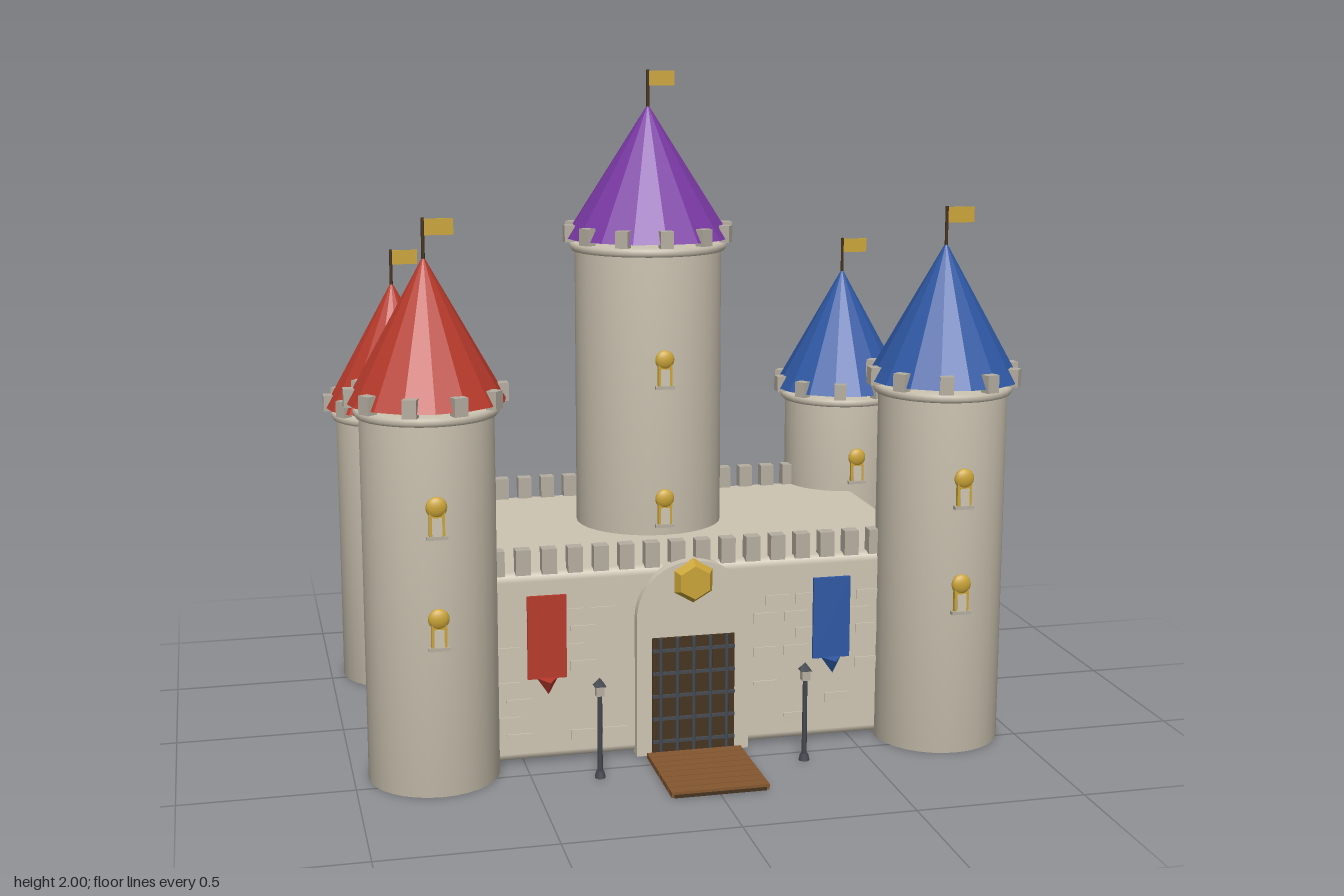
import * as THREE from 'three';
import { RoundedBoxGeometry } from 'three/addons/geometries/RoundedBoxGeometry.js';

const mat = (name, color, extra = {}) => {
  const m = new THREE.MeshStandardMaterial({ color, ...extra });
  m.name = name;
  return m;
};

export function createModel() {
  const flat = { flatShading: true };
  const stone = mat('stone', 0xcdc4b2);
  const trim = mat('trimStone', 0xb4ada0, flat);
  const red = mat('red', 0xb83a2b, flat);
  const blue = mat('blue', 0x2f58a4, flat);
  const purple = mat('purple', 0x7a39a4, flat);
  const gold = mat('gold', 0xcaa437);
  const wood = mat('wood', 0x85562f);
  const darkWood = mat('darkWood', 0x45331f);
  const iron = mat('iron', 0x454950);

  const root = new THREE.Group();
  root.name = 'castle';

  const add = (parent, name, geo, material, x = 0, y = 0, z = 0) => {
    const m = new THREE.Mesh(geo, material);
    m.name = name;
    m.position.set(x, y, z);
    parent.add(m);
    return m;
  };
  const box = (parent, name, w, h, d, material, x, y, z) =>
    add(parent, name, new THREE.BoxGeometry(w, h, d), material, x, y, z);
  const group = (parent, name, x = 0, y = 0, z = 0) => {
    const g = new THREE.Group();
    g.name = name;
    g.position.set(x, y, z);
    parent.add(g);
    return g;
  };

  // Arched window: gold pane, round head, stone infill and sill
  const addWindow = (parent, y, z) => {
    const g = group(parent, 'window', 0, y, z);
    box(g, 'pane', 0.044, 0.085, 0.016, gold, 0, -0.042, 0);
    box(g, 'infill', 0.028, 0.055, 0.018, stone, 0, -0.056, 0.001);
    box(g, 'sill', 0.06, 0.01, 0.024, trim, 0, -0.085, 0);
    const head = add(g, 'windowHead', new THREE.SphereGeometry(0.03, 16, 12), gold);
    head.scale.z = 0.5;
  };

  // Round tower with collar, merlons, cone roof and flag
  const addTower = (name, o) => {
    const g = group(root, name, o.x, 0, o.z);
    const profile = [[0, 0], [o.r, 0], [o.r, o.h]].map(p => new THREE.Vector2(...p));
    add(g, 'towerWall', new THREE.LatheGeometry(profile, 32), stone);
    const collar = [[o.r - 0.01, -0.002], [o.r + 0.01, 0], [o.r + 0.016, 0.008],
      [o.r + 0.016, 0.02], [o.r + 0.01, 0.028], [0, 0.028]];
    add(g, 'collar', new THREE.LatheGeometry(collar.map(p => new THREE.Vector2(...p)), 32),
      stone, 0, o.h - 0.005, 0);
    const base = o.h + 0.035;
    add(g, 'roof', new THREE.ConeGeometry(o.roofR, o.apex - base, 16), o.color, 0, (base + o.apex) / 2, 0);
    for (let i = 0; i < o.merlons; i++) {
      const a = (i / o.merlons) * Math.PI * 2;
      const m = box(g, 'merlon', 0.032, 0.052, 0.04, trim,
        Math.cos(a) * (o.roofR - 0.011), o.h + 0.05, Math.sin(a) * (o.roofR - 0.011));
      m.rotation.y = -a;
    }
    const tip = o.apex + 0.105;
    add(g, 'flagPole', new THREE.CylinderGeometry(0.005, 0.005, 0.15, 8), darkWood, 0, tip - 0.075, 0);
    box(g, 'flag', 0.082, 0.046, 0.005, gold, 0.044, tip - 0.026, 0);
    o.windows.forEach(y => addWindow(g, y, o.r + 0.003));
  };

  for (const s of [-1, 1]) {
    const side = s > 0 ? 'left' : 'right';
    const color = s > 0 ? blue : red;
    addTower(side + 'FrontTower', { x: s * 0.768, z: 0.418, r: 0.19, h: 1.07, roofR: 0.226,
      apex: 1.51, color, merlons: 10, windows: [0.84, 0.522] });
    addTower(side + 'BackTower', { x: s * 0.768, z: -0.545, r: 0.19, h: 0.875, roofR: 0.226,
      apex: 1.315, color, merlons: 10, windows: [0.695, 0.435] });
  }
  addTower('keep', { x: 0, z: -0.16, r: 0.23, h: 1.45, roofR: 0.263,
    apex: 1.895, color: purple, merlons: 12, windows: [1.13, 0.695] });

  // Main block with bevelled edges
  add(root, 'mainWalls', new RoundedBoxGeometry(1.536, 0.57, 0.955, 1, 0.025), stone, 0, 0.293, -0.067);

  // Wall battlements, front and back
  for (const z of [0.388, -0.522])
    for (let i = 0; i < 16; i++)
      box(root, 'wallMerlon', 0.044, 0.075, 0.04, trim, (i - 7.5) * 0.0765, 0.61, z);

  // Raised bricks scattered on the front wall
  let seed = 7;
  const rand = () => (seed = (seed * 16807) % 2147483647) / 2147483647;
  for (let row = 0; row < 9; row++)
    for (let i = 0; i < 4; i++)
      for (const s of [-1, 1]) {
        if (rand() > 0.45) continue;
        box(root, 'brick', 0.075, 0.03, 0.008, stone,
          s * (0.23 + i * 0.095 + (row % 2) * 0.035), 0.08 + row * 0.053, 0.411);
      }

  // Gatehouse arch
  const gate = group(root, 'gate');
  const arch = new THREE.Shape();
  arch.moveTo(-0.17, 0.005);
  arch.lineTo(0.17, 0.005);
  arch.lineTo(0.17, 0.425);
  arch.absarc(0, 0.425, 0.17, 0, Math.PI, false);
  arch.closePath();
  add(gate, 'arch', new THREE.ExtrudeGeometry(arch, { depth: 0.05, bevelEnabled: false, curveSegments: 24 }),
    stone, 0, 0, 0.39);

  // Door and portcullis
  box(gate, 'door', 0.25, 0.355, 0.008, darkWood, 0, 0.19, 0.442);
  for (let i = -2; i <= 2; i++)
    add(gate, 'portcullisBar', new THREE.CylinderGeometry(0.006, 0.006, 0.355, 8), iron, i * 0.05, 0.19, 0.45);
  for (let i = 0; i < 5; i++)
    box(gate, 'portcullisRail', 0.25, 0.009, 0.009, iron, 0, 0.05 + i * 0.07, 0.449);

  // Gold boss over the gate
  const boss = add(gate, 'boss', new THREE.CylinderGeometry(0.05, 0.068, 0.03, 6),
    mat('bossGold', 0xcaa437, flat), 0, 0.535, 0.452);
  boss.rotation.x = Math.PI / 2;

  // Drawbridge planks
  const bridge = group(root, 'drawbridge');
  box(bridge, 'bridgeBase', 0.27, 0.01, 0.315, darkWood, 0, 0.007, 0.612);
  for (let i = 0; i < 8; i++)
    box(bridge, 'plank', 0.286, 0.016, 0.036, wood, 0, 0.012, 0.473 + i * 0.0397);

  for (const s of [-1, 1]) {
    // Banner with a pointed tip
    const color = s > 0 ? blue : red;
    const banner = group(root, 'banner', s * 0.433, 0, 0.418);
    box(banner, 'bannerCloth', 0.115, 0.25, 0.009, color, 0, 0.387, 0);
    const tip = add(banner, 'bannerTip', new THREE.ConeGeometry(0.036, 0.045, 3), color, 0, 0.242, 0.02);
    tip.rotation.z = Math.PI;

    // Lamp post
    const lamp = group(root, 'lampPost', s * 0.307, 0, 0.567);
    add(lamp, 'foot', new THREE.CylinderGeometry(0.012, 0.016, 0.02, 10), iron, 0, 0.012, 0);
    add(lamp, 'post', new THREE.CylinderGeometry(0.007, 0.008, 0.25, 8), iron, 0, 0.13, 0);
    box(lamp, 'lantern', 0.024, 0.03, 0.024, trim, 0, 0.265, 0);
    const cap = add(lamp, 'lanternCap', new THREE.ConeGeometry(0.024, 0.024, 4), iron, 0, 0.291, 0);
    cap.rotation.y = Math.PI / 4;
  }

  return root;
}
